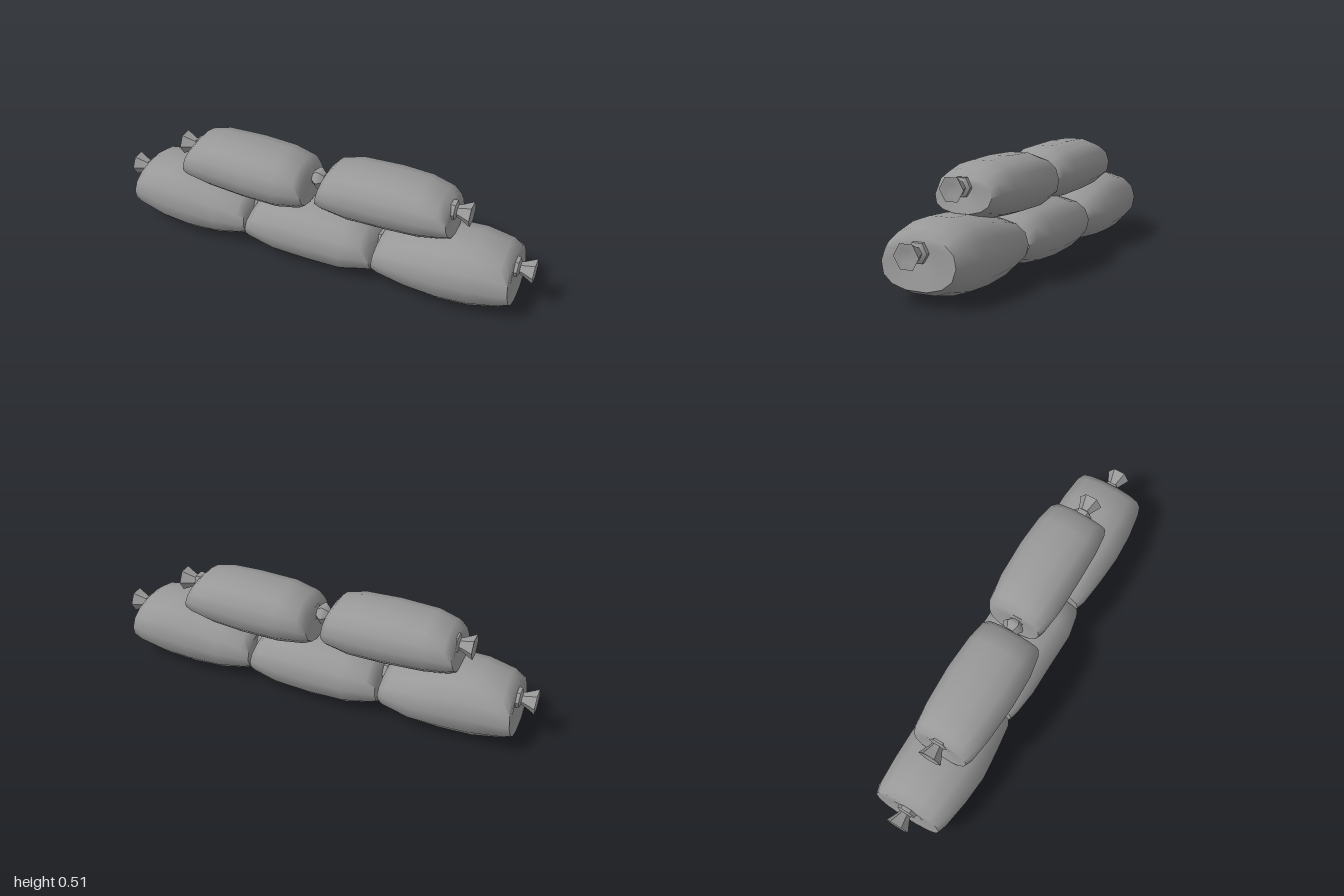
import * as THREE from 'three';
import { toCreasedNormals } from 'three/addons/utils/BufferGeometryUtils.js';

const SIDES = 14;

// Lofts rounded sections along x. Station: [x at bottom, x at top, yLow, yHigh, zBack, zFront]
function loft(stations) {
  const pos = [], index = [];
  const round = (v) => Math.sign(v) * Math.pow(Math.abs(v), 0.86);
  for (const [xb, xt, y0, y1, z0, z1] of stations) {
    for (let j = 0; j < SIDES; j++) {
      const a = (j / SIDES) * Math.PI * 2;
      const s = round(Math.sin(a)), c = round(Math.cos(a));
      pos.push(
        xb + (xt - xb) * (s + 1) / 2,
        (y0 + y1) / 2 + s * (y1 - y0) / 2,
        (z0 + z1) / 2 + c * (z1 - z0) / 2);
    }
  }
  for (let i = 0; i < stations.length - 1; i++) {
    for (let j = 0; j < SIDES; j++) {
      const a = i * SIDES + j, b = i * SIDES + (j + 1) % SIDES;
      index.push(a, a + SIDES, b, b, a + SIDES, b + SIDES);
    }
  }
  const g = new THREE.BufferGeometry();
  g.setAttribute('position', new THREE.Float32BufferAttribute(pos, 3));
  g.setIndex(index);
  return toCreasedNormals(g, 0.95);
}

// Small section where the cloth gathers into its tie
const gather = (x, y, z) => [x, x, y - 0.03, y + 0.03, z - 0.03, z + 0.03];

export function createModel() {
  const model = new THREE.Group();
  const cloth = new THREE.MeshStandardMaterial({ color: 0x999999 });
  cloth.name = 'grey cloth';

  const add = (name, geometry) => {
    const mesh = new THREE.Mesh(geometry, cloth);
    mesh.name = name;
    model.add(mesh);
    return mesh;
  };

  // Bottom row
  add('bottomRightBag', loft([
    gather(-0.915, 0.215, -0.01),
    [-0.94, -0.91, 0.07, 0.27, -0.175, 0.15],
    [-0.90, -0.87, 0.05, 0.30, -0.187, 0.165],
    [-0.76, -0.75, 0.012, 0.325, -0.193, 0.185],
    [-0.62, -0.62, 0.006, 0.32, -0.196, 0.195],
    [-0.48, -0.48, 0.012, 0.285, -0.19, 0.18],
    [-0.35, -0.37, 0.05, 0.25, -0.172, 0.165],
    [-0.325, -0.335, 0.07, 0.22, -0.155, 0.15],
    gather(-0.33, 0.17, 0)]));
  add('bottomMiddleBag', loft([
    gather(-0.31, 0.17, 0),
    [-0.33, -0.31, 0.06, 0.215, -0.16, 0.155],
    [-0.30, -0.27, 0.045, 0.255, -0.178, 0.168],
    [-0.18, -0.15, 0.012, 0.283, -0.196, 0.183],
    [0.00, 0.00, 0.004, 0.29, -0.197, 0.185],
    [0.16, 0.16, 0.014, 0.288, -0.195, 0.19],
    [0.28, 0.25, 0.045, 0.265, -0.178, 0.17],
    [0.31, 0.29, 0.06, 0.215, -0.158, 0.155],
    gather(0.30, 0.17, 0)]));
  add('bottomLeftBag', loft([
    gather(0.32, 0.17, 0),
    [0.305, 0.315, 0.06, 0.22, -0.158, 0.15],
    [0.34, 0.35, 0.045, 0.255, -0.175, 0.165],
    [0.47, 0.47, 0.014, 0.29, -0.192, 0.18],
    [0.62, 0.62, 0.004, 0.318, -0.198, 0.192],
    [0.76, 0.75, 0.012, 0.325, -0.198, 0.188],
    [0.89, 0.87, 0.045, 0.30, -0.188, 0.17],
    [0.94, 0.91, 0.07, 0.27, -0.175, 0.155],
    gather(0.915, 0.215, -0.01)]));

  // Top row
  add('topRightBag', loft([
    gather(-0.635, 0.415, -0.01),
    [-0.66, -0.63, 0.31, 0.455, -0.13, 0.13],
    [-0.63, -0.60, 0.295, 0.49, -0.145, 0.145],
    [-0.52, -0.51, 0.275, 0.517, -0.158, 0.16],
    [-0.33, -0.33, 0.265, 0.52, -0.167, 0.172],
    [-0.17, -0.17, 0.26, 0.513, -0.16, 0.168],
    [-0.06, -0.08, 0.28, 0.49, -0.145, 0.15],
    [-0.035, -0.05, 0.30, 0.45, -0.125, 0.135],
    gather(-0.045, 0.405, -0.01)]));
  add('topLeftBag', loft([
    gather(0.02, 0.405, -0.02),
    [0.0, 0.03, 0.295, 0.455, -0.155, 0.10],
    [0.035, 0.06, 0.28, 0.49, -0.175, 0.115],
    [0.16, 0.16, 0.263, 0.516, -0.193, 0.128],
    [0.34, 0.34, 0.266, 0.521, -0.198, 0.13],
    [0.49, 0.48, 0.275, 0.515, -0.19, 0.128],
    [0.60, 0.57, 0.30, 0.49, -0.175, 0.118],
    [0.64, 0.605, 0.315, 0.455, -0.155, 0.105],
    gather(0.615, 0.415, -0.02)]));

  // Turns a [radius, length] profile about the x axis
  const turned = (name, profile, x, y, z, dir) => {
    const points = profile.map(([r, l]) => new THREE.Vector2(r, l));
    const mesh = add(name, toCreasedNormals(new THREE.LatheGeometry(points, 6), 0.7));
    mesh.rotation.set(0, 0, -dir * Math.PI / 2);
    mesh.position.set(x, y, z);
  };

  // Tied ends: a cord ring, a thin neck and a flared tuft
  const tuft = [[0.032, -0.02], [0.046, 0], [0.044, 0.014], [0.028, 0.022], [0.03, 0.032], [0.056, 0.085], [0.025, 0.082], [0, 0.076]];
  turned('bottomRightTie', tuft, -0.915, 0.215, -0.01, -1);
  turned('bottomLeftTie', tuft, 0.915, 0.215, -0.01, 1);
  turned('topRightTie', tuft, -0.622, 0.418, -0.01, -1);
  turned('topLeftTie', tuft, 0.613, 0.42, -0.018, 1);

  // Knots joining neighbouring bags
  const knot = [[0.035, -0.045], [0.04, -0.034], [0.028, -0.028], [0.05, -0.005], [0.05, 0.005], [0.028, 0.028], [0.04, 0.034], [0.035, 0.045]];
  turned('topKnot', knot, -0.013, 0.405, -0.015, 1);
  turned('bottomRightKnot', knot, -0.32, 0.17, 0, 1);
  turned('bottomLeftKnot', knot, 0.31, 0.17, 0, 1);

  return model;
}
